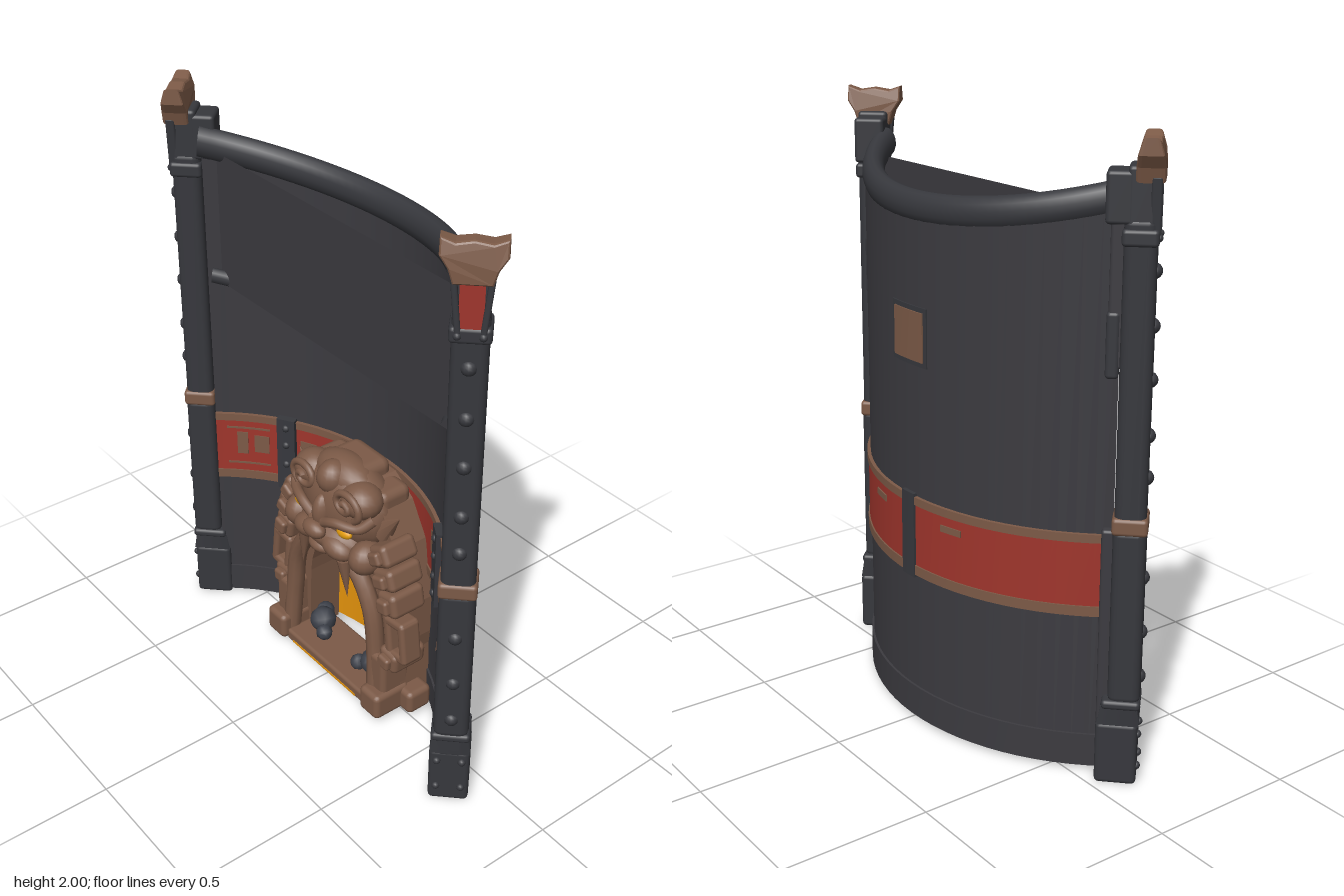
import * as THREE from 'three';
import { RoundedBoxGeometry } from 'three/addons/geometries/RoundedBoxGeometry.js';

const mat = (name, color, side = THREE.FrontSide) => {
  const m = new THREE.MeshStandardMaterial({ color, side });
  m.name = name;
  return m;
};

export function createModel() {
  const wallMat = mat('wall iron', 0x3c3b40, THREE.DoubleSide);
  const iron = mat('frame iron', 0x37383d);
  const stone = mat('carved brown', 0x7c5a47);
  const red = mat('worn red', 0x9f352c);
  const glow = mat('amber glow', 0xe4930c);
  const eyeMat = mat('eye yellow', 0xe8a010);
  const rockMat = mat('rock grey', 0x3e424b);

  const root = new THREE.Group();
  const add = (parent, name, geo, material, x = 0, y = 0, z = 0) => {
    const m = new THREE.Mesh(geo, material);
    m.name = name;
    m.position.set(x, y, z);
    parent.add(m);
    return m;
  };
  const group = (name, parent = root) => {
    const g = new THREE.Group();
    g.name = name;
    parent.add(g);
    return g;
  };
  const rbox = (w, h, d, r = 0.012) => new RoundedBoxGeometry(w, h, d, 2, r);
  const rivetGeo = new THREE.SphereGeometry(0.024, 12, 8);

  // Curved wall: everything on it is a box bent around a vertical axis
  const CZ = 0.61, SLOPE = 0.31;
  const onArc = (a, r, y, slope = 0) => {
    const z = CZ - r * Math.cos(a);
    return new THREE.Vector3(r * Math.sin(a), y + slope * (z + 0.19), z);
  };
  const bent = (parent, name, material, a0, a1, y0, y1, r0, r1, slopeAbove = 9) => {
    const segs = Math.max(1, Math.ceil((a1 - a0) / 0.07));
    const g = new THREE.BoxGeometry(a1 - a0, y1 - y0, r1 - r0, segs, 1, 1);
    const p = g.attributes.position;
    for (let i = 0; i < p.count; i++) {
      const y = p.getY(i) + (y0 + y1) / 2;
      const v = onArc(p.getX(i) + (a0 + a1) / 2, (r0 + r1) / 2 - p.getZ(i), y, y > slopeAbove ? SLOPE : 0);
      p.setXYZ(i, v.x, v.y, v.z);
    }
    g.computeVertexNormals();
    return add(parent, name, g, material);
  };
  const wall = group('wall');
  bent(wall, 'wallSheet', wallMat, -0.89, 0.89, 0.02, 1.73, 0.785, 0.815, 1);
  bent(wall, 'baseRim', wallMat, -0.89, 0.89, 0.015, 0.125, 0.778, 0.823);
  bent(wall, 'redBand', red, -0.89, 0.89, 0.56, 0.79, 0.777, 0.822);
  for (const [y0, y1] of [[0.535, 0.568], [0.778, 0.805]])
    bent(wall, 'bandTrim', stone, -0.89, 0.89, y0, y1, 0.772, 0.827);

  // Top rail (taller than thick) and inner hoop
  const hoop = (name, r, y, rad, half, stretch) => {
    const pts = [];
    for (let i = 0; i <= 20; i++) pts.push(onArc(-half + (2 * half * i) / 20, r, y / stretch, SLOPE / stretch));
    const g = new THREE.TubeGeometry(new THREE.CatmullRomCurve3(pts), 40, rad, 14);
    return add(wall, name, g.scale(1, stretch, 1), iron);
  };
  hoop('topRail', 0.787, 1.725, 0.037, 0.9, 1.4);
  hoop('innerHoop', 0.775, 1.258, 0.02, 0.87, 1.3);
  for (const s of [-1, 1]) for (const a of [0.23, 0.5]) {
    const v = onArc(s * a, 0.757, 1.262, SLOPE);
    add(wall, 'hoopRivet', rivetGeo, iron, v.x, v.y, v.z).scale.setScalar(0.6);
  }

  // Band straps, worn patches and wall plate
  for (const s of [-1, 1]) {
    bent(wall, 'bandStrap', iron, s * 0.555 - 0.044, s * 0.555 + 0.044, 0.525, 0.815, 0.758, 0.79);
    for (const y of [0.56, 0.63, 0.71, 0.78]) {
      const v = onArc(s * 0.555, 0.762, y);
      add(wall, 'strapRivet', rivetGeo, iron, v.x, v.y, v.z).scale.setScalar(0.6);
    }
    for (const [a, w, y0, y1] of [[0.68, 0.07, 0.65, 0.72], [0.77, 0.05, 0.64, 0.73],
      [0.45, 0.08, 0.65, 0.73], [0.74, 0.2, 0.745, 0.752], [0.74, 0.2, 0.597, 0.604]])
      bent(wall, 'wornPatch', stone, s * a - w / 2, s * a + w / 2, y0, y1, 0.774, 0.779);
    bent(wall, 'outerWornPatch', stone, s * 0.24 - 0.05, s * 0.24 + 0.05, 0.725, 0.747, 0.82, 0.826);
  }
  bent(wall, 'backStrap', iron, -0.04, 0.04, 0.525, 0.815, 0.8, 0.829);
  bent(wall, 'plateFrame', iron, -0.11, 0.11, 1.24, 1.43, 0.76, 0.819);
  bent(wall, 'plate', stone, -0.092, 0.092, 1.256, 1.414, 0.752, 0.823);

  // Flat upper panel strung between the posts
  add(root, 'upperPanel', new THREE.PlaneGeometry(1.25, 0.465), wallMat, 0, 1.552, 0.08);

  // Corner posts, turned to face out along the wall's ends
  const cap = new THREE.Shape();
  cap.moveTo(-0.05, -0.06);
  [[0.05, -0.06], [0.062, -0.02], [0.085, 0.015], [0.085, 0.055], [0.05, 0.042], [0, 0.05], [-0.05, 0.042],
    [-0.085, 0.055], [-0.085, 0.015], [-0.062, -0.02]].forEach(([x, y]) => cap.lineTo(x, y));
  const capGeo = new THREE.ExtrudeGeometry(cap, { depth: 0.05, bevelSize: 0.006, bevelThickness: 0.012, bevelSegments: 2 });
  // Cap thins towards its crest
  const cp = capGeo.attributes.position;
  for (let i = 0; i < cp.count; i++) cp.setZ(i, (cp.getZ(i) - 0.025) * (1.1 - 8 * Math.max(0, cp.getY(i))));
  capGeo.computeVertexNormals();
  for (const s of [-1, 1]) {
    const post = group(s > 0 ? 'leftPost' : 'rightPost');
    post.position.set(s * 0.683, 0, 0.12);
    post.rotation.y = (s * Math.PI) / 4;
    add(post, 'shaft', rbox(0.105, 1.6, 0.095, 0.025), iron, 0, 0.98, 0);
    add(post, 'lowerSleeve', rbox(0.112, 0.58, 0.1, 0.025), iron, 0, 0.56, 0);
    add(post, 'base', rbox(0.13, 0.21, 0.13, 0.015), iron, 0, 0.105, -0.018);
    add(post, 'baseShoulder', new THREE.CylinderGeometry(0.078, 0.09, 0.06, 4).rotateY(Math.PI / 4), iron, 0, 0.235, -0.014);
    add(post, 'baseLip', rbox(0.125, 0.03, 0.12), iron, 0, 0.27, -0.008);
    add(post, 'brownCollar', rbox(0.118, 0.055, 0.108), stone, 0, 0.857, 0);
    add(post, 'topCollar', rbox(0.118, 0.05, 0.105), iron, 0, 1.72, 0);
    add(post, 'topBlock', rbox(0.1, 0.2, 0.08), iron, 0, 1.82, 0);
    add(post, 'railSocket', rbox(0.1, 0.15, 0.08), iron, 0, 1.83, -0.06);
    add(post, 'redInset', new THREE.BoxGeometry(0.068, 0.17, 0.008), red, 0, 1.825, 0.045);
    for (const x of [-1, 1]) {
      const b = add(post, 'insetEdge', rbox(0.018, 0.17, 0.03, 0.006), iron, x * 0.043, 1.81, 0.04);
      b.rotation.z = x * -0.1;
      for (const y of [0.06, 0.17]) add(post, 'baseRivet', rivetGeo, iron, x * 0.04, y, 0.046).scale.setScalar(0.55);
      add(post, 'collarRivet', rivetGeo, iron, x * 0.035, 1.72, 0.05).scale.setScalar(0.5);
    }
    add(post, 'capHead', capGeo, stone, 0, 1.94, 0.022);
    for (const y of [0.35, 0.5, 0.68, 1.0, 1.13, 1.3, 1.46, 1.62]) add(post, 'postRivet', rivetGeo, iron, 0, y, 0.04);
    // Joints to the wall, leaving an open slit between them
    for (const [y0, y1] of [[0.02, 0.83], [1.33, 1.76]])
      add(post, 'wallJoint', rbox(0.036, y1 - y0, 0.05, 0.01), wallMat, 0, (y0 + y1) / 2, -0.06);
    add(post, 'jointEdge', rbox(0.045, 0.2, 0.04, 0.012), iron, 0, 1.4, -0.07);
  }

  // Beast-headed gate
  const gate = group('gate');
  const blob = (name, x, y, z, sx, sy, sz, m = stone, rz = 0) => {
    const b = add(gate, name, new THREE.SphereGeometry(1, 18, 12), m, x, y, z);
    b.scale.set(sx, sy, sz);
    b.rotation.z = rz;
    return b;
  };
  const tube = (name, pts, rad) => add(gate, name, new THREE.TubeGeometry(
    new THREE.CatmullRomCurve3(pts.map((p) => new THREE.Vector3(...p))), 32, rad, 10), stone);

  // Arched body with doorway; the amber sheet lies on the wall behind it
  const half = [[0.31, 0.02], [0.3, 0.24], [0.31, 0.3], [0.31, 0.45], [0.26, 0.66], [0.19, 0.78], [0.1, 0.84]];
  const outline = [...half, ...half.map(([x, y]) => [-x, y]).reverse()].map(([x, y]) => new THREE.Vector2(x, y));
  // The doorway is open at the floor, so it notches the outline
  const door = new THREE.Path();
  door.moveTo(-0.21, 0.02);
  door.lineTo(-0.2, 0.3);
  door.bezierCurveTo(-0.18, 0.61, 0.18, 0.61, 0.2, 0.3);
  door.lineTo(0.21, 0.02);
  const body = new THREE.Shape([...outline, ...door.getPoints(16)]);
  add(gate, 'archBody', new THREE.ExtrudeGeometry(body, { depth: 0.13, bevelEnabled: false }), stone, 0, 0, -0.12);
  bent(gate, 'glowingDoorway', glow, -0.34, 0.34, 0.02, 0.56, 0.771, 0.779);
  add(gate, 'threshold', rbox(0.44, 0.045, 0.19), stone, 0, 0.045, 0.015);
  add(gate, 'thresholdGlow', new THREE.BoxGeometry(0.36, 0.008, 0.008), glow, 0, 0.035, 0.108);
  tube('archRim', [[-0.24, 0.05, 0.07], [-0.228, 0.25, 0.06], [-0.2, 0.42, 0.06], [-0.12, 0.53, 0.06], [0, 0.57, 0.06],
    [0.12, 0.53, 0.06], [0.2, 0.42, 0.06], [0.228, 0.25, 0.06], [0.24, 0.05, 0.07]], 0.032);

  // Head
  blob('skull', 0, 0.73, 0, 0.205, 0.165, 0.12);
  add(gate, 'crownBack', rbox(0.38, 0.13, 0.13, 0.03), stone, 0, 0.77, -0.055);
  add(gate, 'crownTop', rbox(0.19, 0.1, 0.15, 0.035), stone, 0, 0.84, -0.04);
  blob('crown', 0, 0.83, 0.01, 0.13, 0.073, 0.08);
  blob('foreheadRidge', 0, 0.84, 0.06, 0.055, 0.06, 0.06);
  blob('muzzle', 0, 0.63, 0.06, 0.15, 0.06, 0.085);
  blob('noseBridge', 0, 0.72, 0.1, 0.035, 0.07, 0.045);
  blob('nose', 0, 0.665, 0.142, 0.05, 0.032, 0.032);
  blob('upperLip', 0, 0.59, 0.1, 0.06, 0.03, 0.05);
  for (const s of [-1, 1]) {
    blob('browLump', s * 0.125, 0.805, 0.04, 0.075, 0.062, 0.07);
    blob('cheek', s * 0.075, 0.62, 0.1, 0.07, 0.042, 0.05, stone, s * -0.2);
    blob('jowl', s * 0.175, 0.61, 0.06, 0.055, 0.06, 0.065);
    blob('eye', s * 0.115, 0.697, 0.105, 0.036, 0.02, 0.018, eyeMat, s * 0.15);
    tube('eyeBrow', [[s * 0.03, 0.7, 0.125], [s * 0.09, 0.73, 0.125], [s * 0.17, 0.735, 0.09], [s * 0.2, 0.77, 0.05]], 0.018);
    const curl = [];
    for (let i = 0; i <= 16; i++) {
      const t = i * 0.6, r = 0.055 - i * 0.003;
      curl.push([s * (0.11 + r * 1.3 * Math.cos(t - 1)), 0.8 + r * Math.sin(t - 1), 0.092 + i * 0.001]);
    }
    tube('browCurl', curl, 0.013);
    const ear = add(gate, 'ear', new THREE.ConeGeometry(0.05, 0.13, 8), stone, s * 0.225, 0.745, 0.0);
    ear.rotation.z = s * -0.75;
    ear.scale.z = 0.7;
    const fang = add(gate, 'fang', new THREE.ConeGeometry(0.026, 0.15, 10), stone, s * 0.115, 0.505, 0.1);
    fang.rotation.z = Math.PI + s * 0.12;

    // Mane stones, side links, legs and feet
    for (const [x, y, w, h, rz] of [[0.24, 0.65, 0.09, 0.08, 0.5], [0.265, 0.57, 0.1, 0.08, 0.35],
      [0.285, 0.48, 0.09, 0.09, 0.2], [0.295, 0.25, 0.09, 0.08, -0.1]]) {
      add(gate, 'maneStone', rbox(w, h, 0.14, 0.02), stone, s * x, y, 0.0).rotation.z = s * rz;
      add(gate, 'maneFacet', rbox(w * 0.6, h * 0.6, 0.04, 0.012), stone, s * x, y, 0.07).rotation.z = s * rz;
    }
    // Square chain link hanging at the side
    const link = group('sideLink', gate);
    link.position.set(s * 0.318, 0.345, 0.02);
    link.rotation.z = s * 0.12;
    for (const k of [-1, 1]) {
      add(link, 'linkSide', rbox(0.032, 0.16, 0.08, 0.014), stone, k * 0.036, 0, 0);
      add(link, 'linkEnd', rbox(0.1, 0.034, 0.08, 0.014), stone, 0, k * 0.066, 0);
    }
    add(gate, 'leg', rbox(0.08, 0.2, 0.12, 0.02), stone, s * 0.265, 0.16, 0.03);
    add(gate, 'foot', rbox(0.1, 0.1, 0.15, 0.02), stone, s * 0.268, 0.07, 0.052);
    add(gate, 'sideFoot', rbox(0.09, 0.09, 0.1, 0.02), stone, s * 0.32, 0.065, -0.03);

    // Loose rocks by the doorway
    for (const [x, y, z, r] of [[0.145, 0.105, 0.0, 0.048], [0.185, 0.095, -0.04, 0.036], [0.1, 0.088, 0.03, 0.03]])
      add(gate, 'rock', new THREE.SphereGeometry(r, 8, 6), rockMat, s * x, y, z).rotation.set(x * 9, s, z * 20);
  }
  return root;
}
